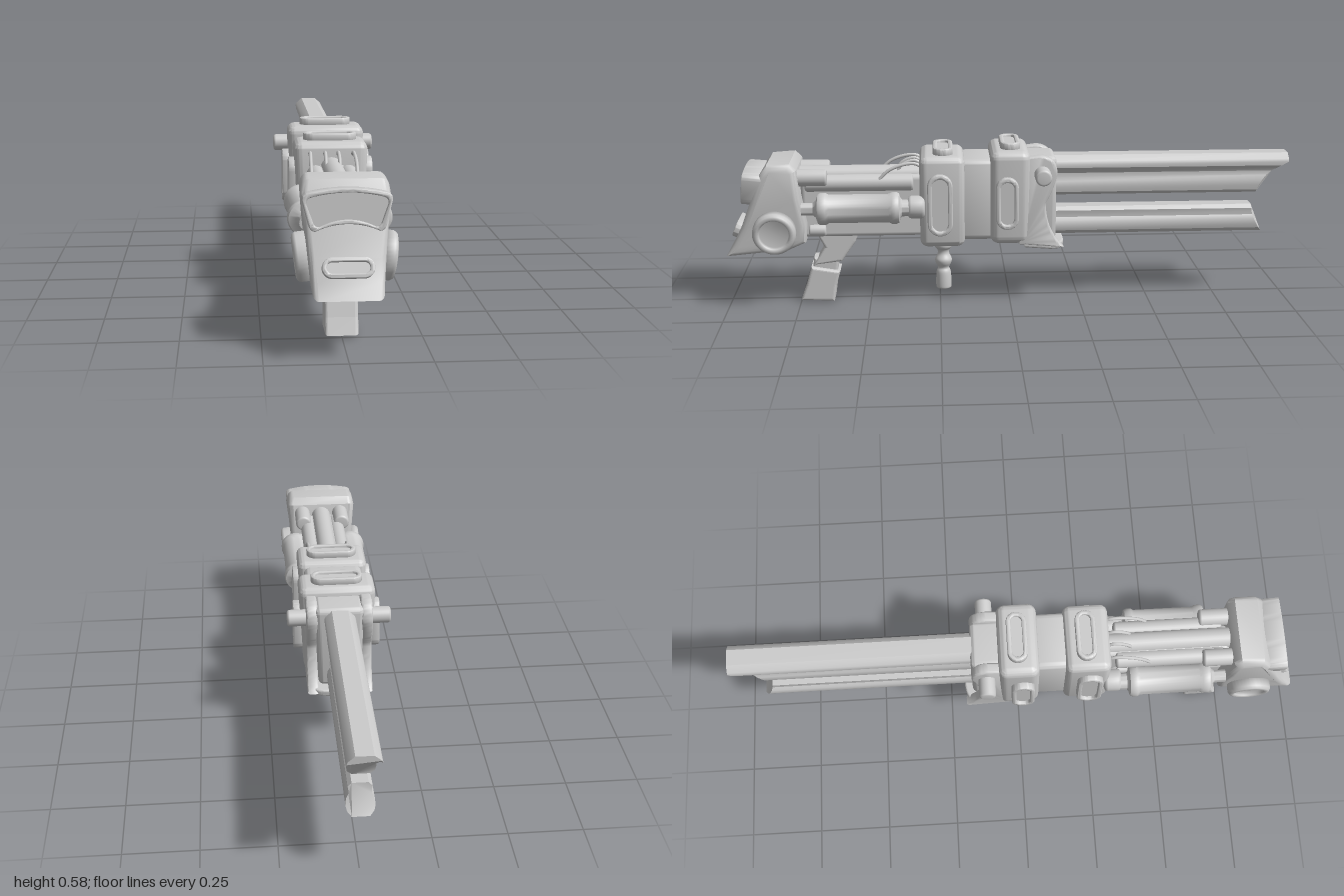
import * as THREE from 'three';
import { RoundedBoxGeometry } from 'three/addons/geometries/RoundedBoxGeometry.js';
import { mergeVertices, toCreasedNormals } from 'three/addons/utils/BufferGeometryUtils.js';

const V2 = (p) => new THREE.Vector2(p[0], p[1]);

export function createModel() {
  const root = new THREE.Group();
  const mat = new THREE.MeshStandardMaterial({ color: 0xcccccc });

  const add = (name, geo, x = 0, y = 0, z = 0, parent = root) => {
    const m = new THREE.Mesh(geo, mat);
    m.name = name;
    m.position.set(x, y, z);
    parent.add(m);
    return m;
  };

  // move every vertex by a rule, then rebuild smooth normals with sharp edges kept
  const bend = (geo, rule, crease = 0.7) => {
    geo.deleteAttribute('uv');
    geo.deleteAttribute('normal');
    const g = mergeVertices(geo, 1e-5);
    const p = g.attributes.position, v = new THREE.Vector3();
    for (let i = 0; i < p.count; i++) {
      rule(v.fromBufferAttribute(p, i));
      p.setXYZ(i, v.x, v.y, v.z);
    }
    return toCreasedNormals(g, crease);
  };

  // rounded solid from a shape; the bevel stays inside the outline
  const slab = (shape, depth, r) => {
    const g = new THREE.ExtrudeGeometry(shape, {
      depth: depth - 2 * r, bevelEnabled: r > 0, bevelSize: r, bevelThickness: r,
      bevelOffset: -r, bevelSegments: 4, curveSegments: 14,
    });
    return g.translate(0, 0, r - depth / 2);
  };

  // side profile given as (z, y) points, spread across x
  const side = (shape, width, r) => slab(shape, width, r).rotateY(-Math.PI / 2);
  const poly = (pts) => new THREE.Shape(pts.map(V2));

  const stadium = (Path, w, h) => {
    const r = h / 2, s = w / 2 - r, p = new Path();
    p.absarc(s, 0, r, -Math.PI / 2, Math.PI / 2);
    p.absarc(-s, 0, r, Math.PI / 2, Math.PI * 1.5);
    p.closePath();
    return p;
  };

  // raised oval rim with a sunken plate, facing +z
  const oval = (name, w, h, rim, depth) => {
    const g = new THREE.Group();
    g.name = name;
    const s = stadium(THREE.Shape, w, h);
    s.holes.push(stadium(THREE.Path, w - 2 * rim, h - 2 * rim));
    add('ovalRim', toCreasedNormals(slab(s, depth, rim * 0.3), 0.6), 0, 0, 0, g);
    add('ovalPlate', slab(stadium(THREE.Shape, w - rim, h - rim), depth * 0.6, 0), 0, 0, -depth * 0.12, g);
    root.add(g);
    return g;
  };

  // cylinder with softened rims, along y
  const softCylinder = (r, len) => {
    const b = r * 0.3, h = len / 2;
    return new THREE.LatheGeometry([[0, -h], [r - b, -h], [r - b * 0.3, -h + b * 0.3], [r, -h + b],
      [r, h - b], [r - b * 0.3, h - b * 0.3], [r - b, h], [0, h]].map(V2), 28);
  };
  const rod = (name, r, len, x, y, z) => add(name, softCylinder(r, len).rotateX(Math.PI / 2), x, y, z);

  // stock: narrow at the foot, wide at the shoulder
  const stock = poly([[1.0, 0.188], [0.972, 0.235], [0.94, 0.30], [0.905, 0.39], [0.87, 0.485], [0.845, 0.518],
    [0.765, 0.524], [0.742, 0.50], [0.735, 0.40], [0.715, 0.30], [0.72, 0.235], [0.78, 0.208]]);
  add('stock', bend(side(stock, 0.27, 0.022), (v) => {
    v.x *= THREE.MathUtils.mapLinear(v.y, 0.19, 0.48, 0.77, 1);
    v.x *= v.y > 0.48 ? 1 - (v.y - 0.48) * 2.2 : 1;
  }));

  // curved shoulder pad with rim and hollow face
  const padOutline = (Path, k) => {
    const p = new Path();
    p.moveTo(-0.095 + k, -0.062 + k);
    p.quadraticCurveTo(0, -0.02 + k, 0.095 - k, -0.062 + k);
    p.quadraticCurveTo(0.11 - k, -0.062 + k, 0.115 - k, -0.04 + k);
    p.lineTo(0.132 - k, 0.03 - k);
    p.quadraticCurveTo(0.132 - k, 0.046 - k, 0.115 - k, 0.05 - k);
    p.quadraticCurveTo(0, 0.075 - k, -0.115 + k, 0.05 - k);
    p.quadraticCurveTo(-0.132 + k, 0.046 - k, -0.132 + k, 0.03 - k);
    p.lineTo(-0.115 + k, -0.04 + k);
    p.quadraticCurveTo(-0.11 + k, -0.062 + k, -0.095 + k, -0.062 + k);
    return p;
  };
  const padRim = padOutline(THREE.Shape, 0);
  padRim.holes.push(padOutline(THREE.Path, 0.012));
  add('shoulderPadRim', toCreasedNormals(slab(padRim, 0.08, 0.004), 0.6), 0, 0.438, 0.893).rotation.x = -0.1;
  add('shoulderPad', slab(padOutline(THREE.Shape, 0.006), 0.06, 0), 0, 0.438, 0.89).rotation.x = -0.1;
  const heel = oval('heelOval', 0.155, 0.062, 0.014, 0.035);
  heel.position.set(0, 0.275, 0.955);
  heel.rotation.x = -0.4;

  // receiver between stock and blocks
  add('receiverFrame', new RoundedBoxGeometry(0.13, 0.10, 0.46, 3, 0.015), 0, 0.295, 0.51);
  add('receiverCore', new RoundedBoxGeometry(0.10, 0.16, 0.46, 3, 0.02), 0, 0.385, 0.51);
  rod('topTube', 0.036, 0.46, 0, 0.455, 0.52);

  // turned side canister, along z
  const canister = [[0, -0.20], [0.028, -0.20], [0.03, -0.15], [0.035, -0.145], [0.052, -0.14], [0.056, -0.13],
    [0.056, -0.115], [0.05, -0.105], [0.05, 0.105], [0.056, 0.115], [0.056, 0.135], [0.052, 0.142], [0.03, 0.15],
    [0.022, 0.16], [0.022, 0.20], [0, 0.20]];

  for (const s of [-1, 1]) {
    rod('stockPeg', 0.03, 0.12, s * 0.075, 0.465, 0.70);
    rod('sideTube', 0.03, 0.38, s * 0.055, 0.44, 0.53);
    add('canister', toCreasedNormals(new THREE.LatheGeometry(canister.map(V2), 32), 0.6)
      .rotateX(Math.PI / 2), s * 0.108, 0.36, 0.53);
    rod('canisterCollar', 0.04, 0.06, s * 0.10, 0.36, 0.33);
    rod('lowerPeg', 0.022, 0.06, s * 0.06, 0.27, 0.68);

    // round stock bosses, tilted with the walls
    const boss = add('stockBoss', new THREE.LatheGeometry([[0, -0.03], [0.076, -0.03], [0.076, 0.012], [0.07, 0.022],
      [0.06, 0.025], [0.053, 0.02], [0.05, 0.008], [0, 0.008]].map(V2), 36), s * 0.128, 0.28, 0.825);
    boss.rotation.z = -s * (Math.PI / 2 + 0.12);

    // ovals on the block sides
    for (const [z, x, y, h, w] of [[0.247, 0.122, 0.372, 0.22, 0.088], [0.012, 0.134, 0.378, 0.185, 0.08]]) {
      const o = oval('sideOval', h, w, 0.016, 0.04);
      o.position.set(s * x, y, z);
      o.rotation.set(0, s * Math.PI / 2, Math.PI / 2, 'YXZ');
    }

    // front cheek plate sweeping into the lower lip
    const cheek = new THREE.Shape();
    cheek.moveTo(-0.03, 0.53);
    cheek.lineTo(-0.105, 0.54);
    cheek.quadraticCurveTo(-0.165, 0.535, -0.165, 0.475);
    cheek.quadraticCurveTo(-0.155, 0.42, -0.125, 0.37);
    cheek.quadraticCurveTo(-0.125, 0.27, -0.19, 0.207);
    cheek.lineTo(-0.03, 0.22);
    add('cheekPlate', toCreasedNormals(side(cheek, 0.04, 0.009), 0.6), s * 0.095, 0, 0);
    add('crossPin', softCylinder(0.029, 0.12).rotateZ(Math.PI / 2), s * 0.12, 0.475, -0.112);

    // wires from the rear block to the tubes
    for (const [x, end] of [[0.022, 0.41], [0.072, 0.48]]) {
      const path = new THREE.CatmullRomCurve3([[x, 0.49, 0.30], [x, 0.51, 0.335], [x * 1.04, 0.49, (end + 0.34) / 2 + 0.01],
        [x * 1.04, 0.43, end]].map((p) => new THREE.Vector3(s * p[0], p[1], p[2])));
      add('wire', new THREE.TubeGeometry(path, 20, 0.006, 8));
    }
  }

  // blocks, slightly narrower at the foot
  const block = (name, w, y0, y1, z0, z1, r) => add(name, bend(
    new RoundedBoxGeometry(w, y1 - y0, z1 - z0, 5, r).translate(0, (y0 + y1) / 2, (z0 + z1) / 2),
    (v) => { v.x *= THREE.MathUtils.mapLinear(v.y, y0, y1, 0.88, 1); }, 1));
  block('rearBlock', 0.25, 0.212, 0.54, 0.16, 0.318, 0.028);
  block('blockBridge', 0.21, 0.232, 0.525, 0.05, 0.18, 0.025);
  block('frontBlock', 0.27, 0.222, 0.558, -0.07, 0.07, 0.03);
  block('muzzleBlock', 0.17, 0.225, 0.53, -0.165, 0, 0.02);
  for (const [y, z] of [[0.548, 0.235], [0.566, -0.002]]) {
    const o = oval('topOval', 0.18, 0.07, 0.016, 0.03);
    o.position.set(0, y, z);
    o.rotation.x = -Math.PI / 2;
  }

  // lower lip with rounded nose
  const lip = new THREE.Shape();
  lip.moveTo(-0.11, 0);
  lip.lineTo(0.11, 0);
  lip.lineTo(0.11, 0.09);
  lip.bezierCurveTo(0.10, 0.14, 0.07, 0.145, 0, 0.145);
  lip.bezierCurveTo(-0.07, 0.145, -0.10, 0.14, -0.11, 0.09);
  add('lowerLip', slab(lip, 0.026, 0.008).rotateX(-Math.PI / 2), 0, 0.22, -0.05).rotation.x = -0.08;

  // barrels: half section mirrored, far end cut by a rule of height
  const barrel = (name, half, end) => {
    const outline = poly([...half, ...half.map(([x, y]) => [-x, y]).reverse()]);
    add(name, bend(new THREE.ExtrudeGeometry(outline, { depth: 1, bevelEnabled: false }).translate(0, 0, -1),
      (v) => { v.z = v.z < -0.5 ? end(v.y) : -0.1; }, 0.5));
  };
  barrel('upperBarrel', [[0.028, 0.38], [0.042, 0.392], [0.045, 0.41], [0.044, 0.43], [0.036, 0.445], [0.036, 0.46],
    [0.044, 0.472], [0.053, 0.482], [0.054, 0.495], [0.05, 0.505], [0.028, 0.524]],
  (y) => (y > 0.49 ? -1 : -0.89 - 0.10 * ((y - 0.38) / 0.11) ** 2));
  barrel('lowerBarrel', [[0.028, 0.236], [0.042, 0.25], [0.046, 0.265], [0.044, 0.285], [0.036, 0.298], [0.036, 0.31],
    [0.038, 0.322], [0.026, 0.335]],
  (y) => -0.875 - 0.04 * ((0.335 - y) / 0.1) ** 2);

  // pistol grip
  add('gripNeck', side(poly([[0.69, 0.26], [0.535, 0.26], [0.55, 0.22], [0.60, 0.148], [0.70, 0.136],
    [0.66, 0.20]]), 0.096, 0.01));
  add('gripCore', side(poly([[0.70, 0.16], [0.61, 0.16], [0.62, 0.09], [0.71, 0.09]]), 0.074, 0.01));
  add('gripHandle', side(poly([[0.71, 0.13], [0.607, 0.112], [0.622, 0.06], [0.631, 0],
    [0.75, 0.006], [0.73, 0.06]]), 0.105, 0.01));

  // turned fore grip
  add('foreGrip', new THREE.LatheGeometry(new THREE.SplineCurve([[0.001, 0.028], [0.024, 0.03], [0.028, 0.045],
    [0.026, 0.09], [0.02, 0.108], [0.028, 0.125], [0.03, 0.14], [0.021, 0.16], [0.022, 0.175], [0.032, 0.19],
    [0.033, 0.225]].map(V2)).getPoints(50), 28), 0, 0, 0.237);

  return root;
}
